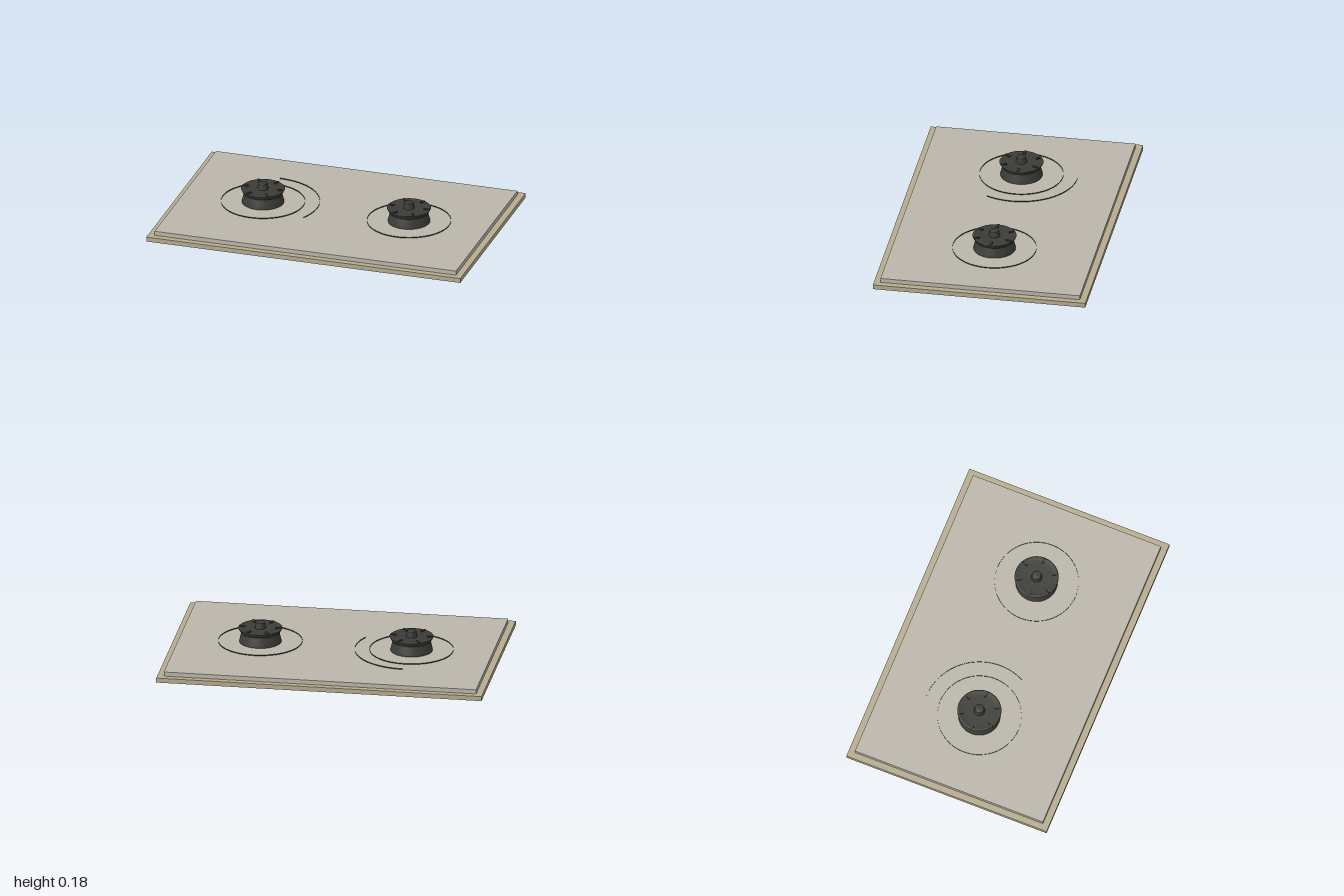
import * as THREE from 'three';

const mat = (color, side = THREE.FrontSide) => new THREE.MeshStandardMaterial({ color, side });

export function createModel() {
  const model = new THREE.Group();
  const tan = mat(0xb5ab8e), grey = mat(0xbbb6aa), dark = mat(0x3b3c37);
  const darkThin = mat(0x3b3c37, THREE.DoubleSide);

  function add(parent, name, geometry, material, x = 0, y = 0, z = 0) {
    const mesh = new THREE.Mesh(geometry, material);
    mesh.name = name;
    mesh.position.set(x, y, z);
    parent.add(mesh);
    return mesh;
  }

  // Two stacked plates
  add(model, 'basePlate', new THREE.BoxGeometry(2, 0.029, 1.31), tan, 0, 0.0145, 0);
  add(model, 'topPanel', new THREE.BoxGeometry(1.92, 0.027, 1.23), grey, 0, 0.0425, 0);

  // Lathe built from separate profile runs, so the edges between them stay sharp
  function turned(parent, name, runs) {
    const part = new THREE.Group();
    part.name = name;
    for (const run of runs) {
      const points = run.map(([r, y]) => new THREE.Vector2(r, y));
      add(part, name + 'Surface', new THREE.LatheGeometry(points, 48), dark);
    }
    parent.add(part);
  }

  // Knob: waisted skirt, flared cap, tapered centre button and six grip ridges
  function knob(x) {
    const group = new THREE.Group();
    group.name = 'knob';
    group.position.x = x;
    turned(group, 'skirt', [
      [[0.128, 0.056], [0.128, 0.062]],
      [[0.128, 0.062], [0.124, 0.08], [0.119, 0.1], [0.114, 0.12]],
    ]);
    turned(group, 'cap', [
      [[0.112, 0.119], [0.121, 0.12]],
      [[0.121, 0.12], [0.128, 0.132], [0.134, 0.144]],
      [[0.134, 0.144], [0.13, 0.147], [0.118, 0.146], [0.1, 0.143], [0, 0.143]],
    ]);
    turned(group, 'button', [
      [[0.034, 0.142], [0.028, 0.179]],
      [[0.028, 0.179], [0.024, 0.183], [0, 0.183]],
    ]);
    for (let i = 0; i < 6; i++) {
      const a = (i * Math.PI) / 3;
      const ridge = add(group, 'gripRidge', new THREE.BoxGeometry(0.035, 0.01, 0.013), dark,
        0.112 * Math.cos(a), 0.146, 0.112 * Math.sin(a));
      ridge.rotation.y = -a;
    }
    model.add(group);
  }

  // Thin upright line standing on the panel, full circle or arc
  function marking(name, x, radius, start = 0, length = Math.PI * 2) {
    add(model, name, new THREE.CylinderGeometry(radius, radius, 0.006, 64, 1, true, start, length),
      darkThin, x, 0.059, 0);
  }

  for (const x of [-0.465, 0.465]) {
    knob(x);
    marking('dialRing', x, 0.255);
  }
  // Outer arc, from the back round to the inner side of the right-hand dial
  marking('outerArc', -0.465, 0.345, Math.PI * 0.35, Math.PI * 0.65);

  return model;
}
